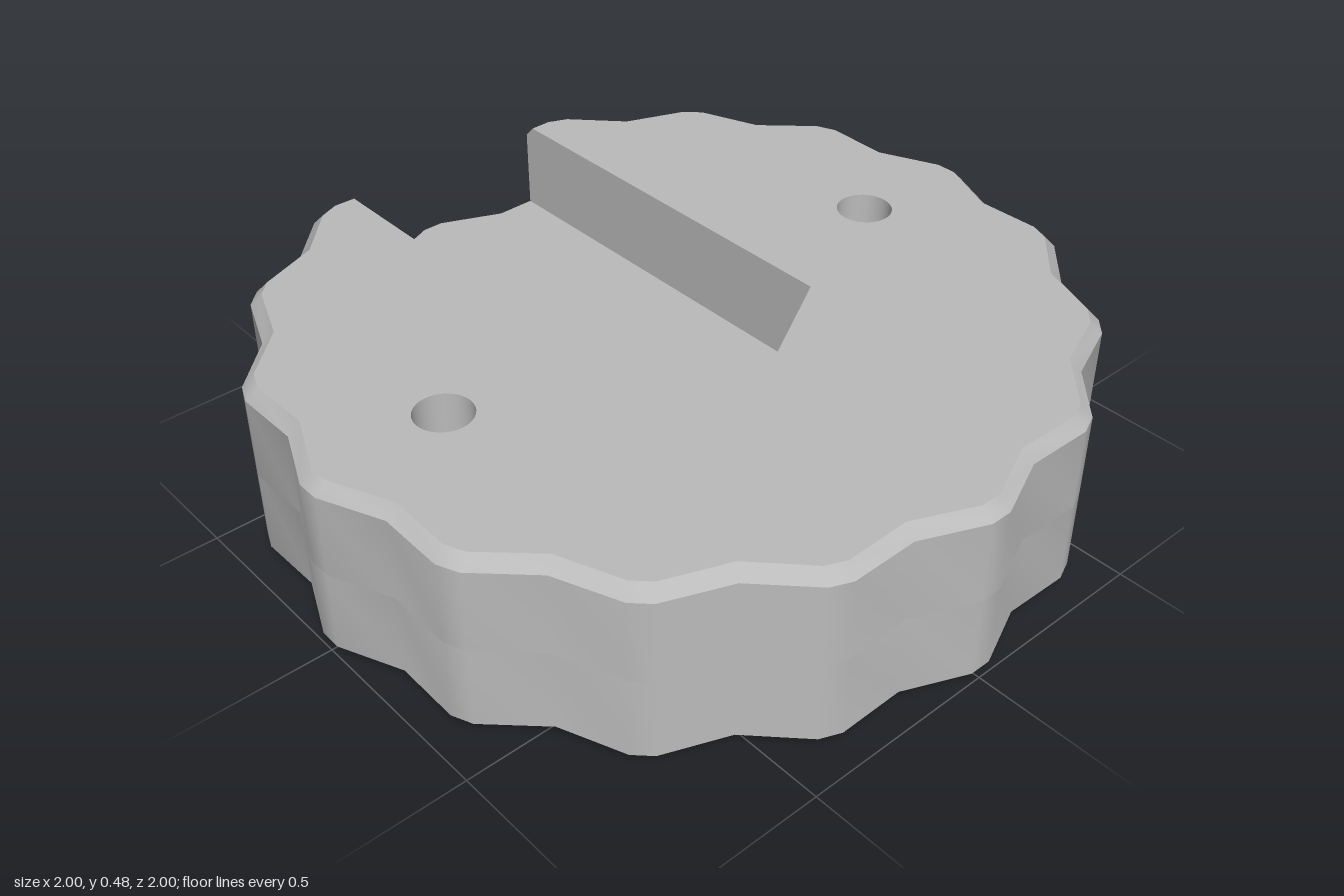
import * as THREE from 'three';
import { toCreasedNormals } from 'three/addons/utils/BufferGeometryUtils.js';

const LOBES = 16, HEIGHT = 0.48, CHAMFER = 0.03, FLOOR = 0.24;
const SLOT = 0.29, SLOT_END = 0.17, SLOT_TIP = 0.335;
const HOLE_X = 0.655, HOLE_R = 0.07;

// Scalloped outline as [x, z] points, clockwise from the back lobe
function outline(inset) {
  const pts = [];
  for (let k = 0; k < LOBES; k++) {
    for (const [deg, r] of [[-1.6, 1], [1.6, 1], [11.25, 0.95]]) {
      const a = THREE.MathUtils.degToRad((k * 360) / LOBES + deg);
      pts.push([(r - inset) * Math.sin(a), -(r - inset) * Math.cos(a)]);
    }
  }
  return pts;
}

const pocket = [[-SLOT, SLOT_END], [0, SLOT_TIP], [SLOT, SLOT_END]];

// Where the slot wall meets the outline
function slotMouth(pts) {
  const [a, b] = [pts[2], pts[3]];
  return a[1] + ((b[1] - a[1]) * (SLOT - a[0])) / (b[0] - a[0]);
}

// Outline with the slot cut in from the back
function slottedOutline(inset) {
  const pts = outline(inset), z = slotMouth(pts);
  return [[SLOT, z], ...pts.slice(3, -1), [-SLOT, z], ...pocket];
}

// Skin between matching loops, each given as [y, points]
function loft(levels) {
  const pos = [];
  for (let l = 0; l < levels.length - 1; l++) {
    const [y0, lo] = levels[l], [y1, up] = levels[l + 1];
    lo.forEach((p, i) => {
      const j = (i + 1) % lo.length;
      const a = [p[0], y0, p[1]], b = [lo[j][0], y0, lo[j][1]];
      const c = [up[j][0], y1, up[j][1]], d = [up[i][0], y1, up[i][1]];
      pos.push(...a, ...d, ...c, ...a, ...c, ...b);
    });
  }
  const geo = new THREE.BufferGeometry();
  geo.setAttribute('position', new THREE.Float32BufferAttribute(pos, 3));
  return toCreasedNormals(geo, Math.PI / 6);
}

// Flat horizontal face at height y
function cap(pts, y, down = false, holes = []) {
  const s = down ? 1 : -1;
  const shape = new THREE.Shape(pts.map(([x, z]) => new THREE.Vector2(x, s * z)));
  for (const x of holes) {
    shape.holes.push(new THREE.Path().absarc(x, 0, HOLE_R, 0, Math.PI * 2, true));
  }
  return new THREE.ShapeGeometry(shape, 16).rotateX((s * Math.PI) / 2).translate(0, y, 0);
}

export function createModel() {
  const group = new THREE.Group();
  const grey = new THREE.MeshStandardMaterial({ color: 0xbbbbbb });
  grey.name = 'plain grey';
  const add = (name, geo) => {
    const mesh = new THREE.Mesh(geo, grey);
    mesh.name = name;
    group.add(mesh);
  };

  const full = outline(0), small = outline(CHAMFER);
  const cut = slottedOutline(0), cutSmall = slottedOutline(CHAMFER);

  // Lower half: whole outline with a chamfered foot
  add('base', cap(small, 0, true));
  add('lowerRim', loft([[0, small], [CHAMFER, full], [FLOOR, full]]));

  // Upper half: rim and slot walls in one skin, chamfered at the top
  add('upperRimAndSlotWalls', loft([[FLOOR, cut], [HEIGHT - CHAMFER, cut], [HEIGHT, cutSmall]]));
  add('topFace', cap(cutSmall, HEIGHT, false, [-HOLE_X, HOLE_X]));

  // Slot floor reaches out to the back lobe
  const z = slotMouth(full);
  add('slotFloor', cap([[-SLOT, z], full.at(-1), ...full.slice(0, 3), [SLOT, z],
    ...[...pocket].reverse()], FLOOR));

  // Two blind pin holes, walls facing inward
  for (const [side, x] of [['left', HOLE_X], ['right', -HOLE_X]]) {
    const wall = new THREE.CylinderGeometry(HOLE_R, HOLE_R, HEIGHT - FLOOR, 32, 1, true);
    wall.scale(-1, 1, 1); // mirrored so the faces point to the axis
    const n = wall.attributes.normal;
    for (let i = 0; i < n.count; i++) n.setXYZ(i, -n.getX(i), -n.getY(i), -n.getZ(i));
    add(side + 'HoleWall', wall.translate(x, (HEIGHT + FLOOR) / 2, 0));
    add(side + 'HoleFloor', new THREE.CircleGeometry(HOLE_R, 32).rotateX(-Math.PI / 2).translate(x, FLOOR, 0));
  }
  return group;
}
